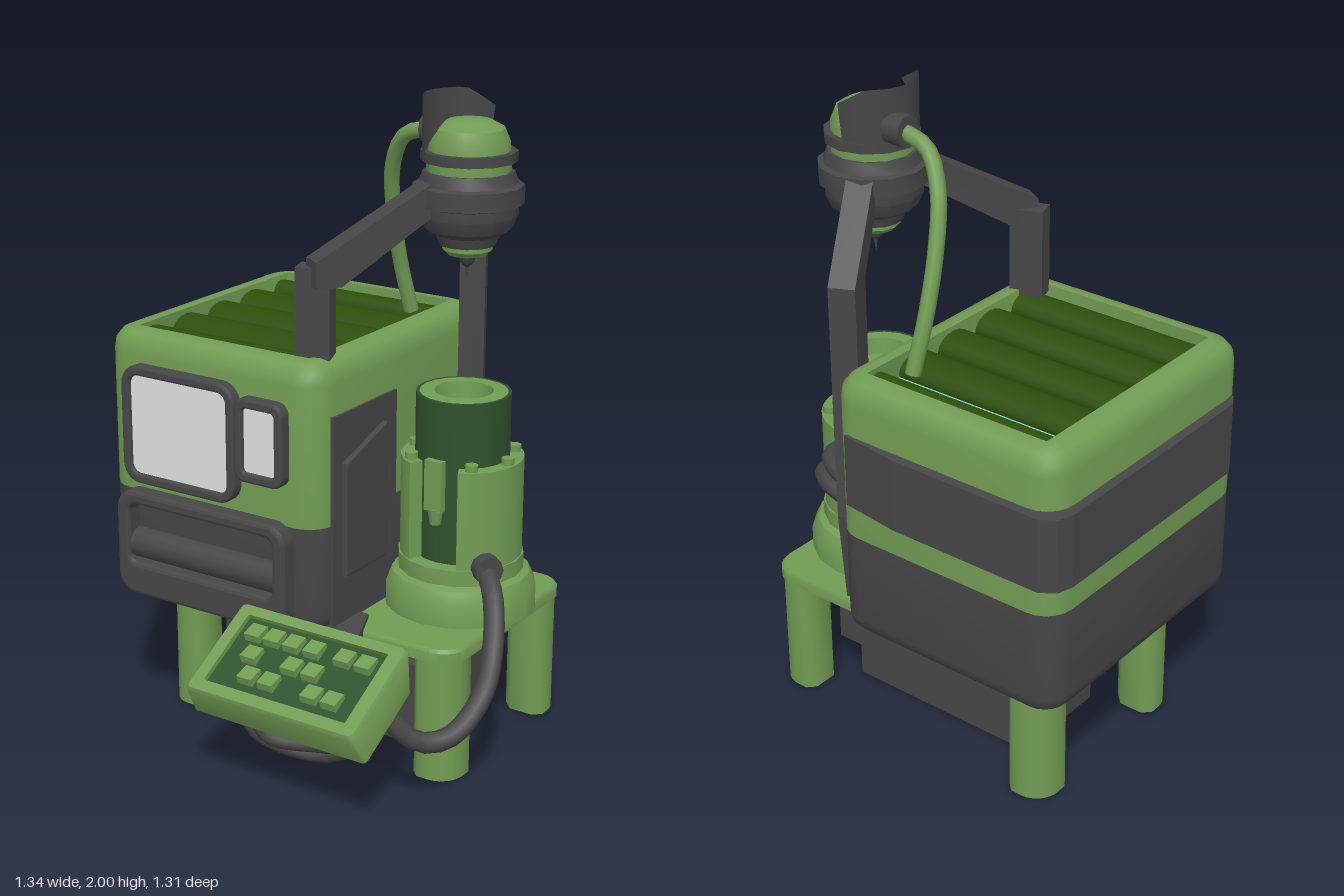
import * as THREE from 'three';
import { mergeVertices, toCreasedNormals } from 'three/addons/utils/BufferGeometryUtils.js';

const mat = (name, color) => Object.assign(new THREE.MeshStandardMaterial({ color }), { name });
const V = (a) => new THREE.Vector3(...a);

export function createModel() {
  const green = mat('green', 0x719d53), grey = mat('grey', 0x474747);
  const deep = mat('deepGreen', 0x2f522d), slatGreen = mat('slatGreen', 0x2c4f0a);
  const glow = mat('paleCyan', 0x88d8cb), glass = mat('screenGrey', 0xe2e2e2);
  const hoodMat = mat('hoodGrey', 0x454545);
  hoodMat.side = THREE.DoubleSide;
  const root = new THREE.Group();

  const add = (name, geo, material, parent = root) => {
    const mesh = new THREE.Mesh(geo, material);
    mesh.name = name;
    parent.add(mesh);
    return mesh;
  };
  const box = (name, x0, x1, y0, y1, z0, z1, m, parent) => {
    const mesh = add(name, new THREE.BoxGeometry(x1 - x0, y1 - y0, z1 - z0), m, parent);
    mesh.position.set((x0 + x1) / 2, (y0 + y1) / 2, (z0 + z1) / 2);
    return mesh;
  };

  // Stack of rounded rectangles, each [x0, x1, z0, z1, radius, y]
  const loft = (rings, capStart = true, capEnd = true, crease = 0.7) => {
    const pos = [], idx = [], k = 5, n = 4 * (k + 1);
    for (const [x0, x1, z0, z1, r, y] of rings) {
      const corners = [[x1 - r, z1 - r], [x0 + r, z1 - r], [x0 + r, z0 + r], [x1 - r, z0 + r]];
      corners.forEach(([cx, cz], q) => {
        for (let i = 0; i <= k; i++) {
          const a = (q + i / k) * Math.PI / 2;
          pos.push(cx + r * Math.cos(a), y, cz + r * Math.sin(a));
        }
      });
    }
    for (let i = 0; i < rings.length - 1; i++) for (let j = 0; j < n; j++) {
      const a = i * n + j, b = i * n + (j + 1) % n;
      idx.push(a, a + n, b, b, a + n, b + n);
    }
    const cap = (ring, flip) => {
      const [x0, x1, z0, z1, , y] = rings[ring], c = pos.length / 3, s = ring * n;
      pos.push((x0 + x1) / 2, y, (z0 + z1) / 2);
      for (let j = 0; j < n; j++) {
        const a = s + j, b = s + (j + 1) % n;
        idx.push(c, flip ? b : a, flip ? a : b);
      }
    };
    if (capStart) cap(0, false);
    if (capEnd) cap(rings.length - 1, true);
    const g = new THREE.BufferGeometry();
    g.setAttribute('position', new THREE.Float32BufferAttribute(pos, 3));
    g.setIndex(idx);
    return toCreasedNormals(g, crease);
  };
  const inset = (b, d, y, r) => [b[0] + d, b[1] - d, b[2] + d, b[3] - d, r, y];

  const lathe = (pts, seg) => {
    const g = new THREE.LatheGeometry(pts.map((p) => new THREE.Vector2(...p)), seg);
    g.deleteAttribute('uv');
    g.deleteAttribute('normal');
    return toCreasedNormals(mergeVertices(g), 0.6);
  };
  const tube = (name, pts, r, m) =>
    add(name, new THREE.TubeGeometry(new THREE.CatmullRomCurve3(pts.map(V)), 20, r, 8), m);
  const poly = (pts) => new THREE.Shape(pts.map((p) => new THREE.Vector2(...p)));
  const extrude = (shape, depth, bevel = 0) => new THREE.ExtrudeGeometry(shape, {
    depth, bevelEnabled: bevel > 0, bevelSize: bevel, bevelThickness: bevel, bevelSegments: 2, curveSegments: 6 });
  const roundRect = (s, x0, x1, y0, y1, r) => {
    s.absarc(x1 - r, y1 - r, r, 0, Math.PI / 2);
    s.absarc(x0 + r, y1 - r, r, Math.PI / 2, Math.PI);
    s.absarc(x0 + r, y0 + r, r, Math.PI, Math.PI * 1.5);
    s.absarc(x1 - r, y0 + r, r, Math.PI * 1.5, Math.PI * 2);
    s.closePath();
    return s;
  };

  // Table: slab, dark sloping underside, four legs rounded outside and trimmed inside
  const T = [-0.525, 0.55, -0.517, 0.185];
  add('tableTop', loft([inset(T, 0.025, 0.388, 0.06), inset(T, 0, 0.388, 0.08), inset(T, 0, 0.42, 0.08),
    inset(T, 0.008, 0.43, 0.075)], false), green);
  add('tableUnderside', loft([[-0.33, 0.35, -0.34, 0.02, 0.02, 0.345], inset(T, 0.025, 0.388, 0.06)], true, false), deep);
  const legShape = new THREE.Shape();
  legShape.moveTo(-0.035, -0.07);
  legShape.lineTo(0.045, -0.07);
  legShape.lineTo(0.07, -0.045);
  legShape.absarc(-0.01, -0.01, 0.08, 0, Math.PI / 2);
  legShape.lineTo(-0.045, 0.07);
  legShape.lineTo(-0.07, 0.045);
  legShape.lineTo(-0.07, -0.035);
  const legGeo = toCreasedNormals(extrude(legShape, 0.41).rotateX(-Math.PI / 2), 0.9);
  [[1, -1], [-1, -1], [-1, 1], [1, 1]].forEach(([sx, sz], q) => {
    const leg = add('leg', legGeo, green);
    leg.position.set(0.012 + sx * 0.463, 0, -0.165 + sz * 0.277);
    leg.rotation.y = q * Math.PI / 2;
  });
  box('baseCabinet', -0.32, 0.345, 0, 0.36, -0.335, 0.01, grey);
  box('crossBeams', -0.39, 0.4, 0.14, 0.285, -0.37, 0.04, grey);

  // Cabinet: grey lower half, green upper half with a recessed vent
  const B = [-0.64, 0.16, -0.63, 0.31], vent = [-0.555, 0.08, -0.55, 0.235, 0.005];
  add('cabinetLower', loft([inset(B, 0.06, 0.42, 0.05), inset(B, 0.025, 0.43, 0.07), inset(B, 0.007, 0.45, 0.08),
    inset(B, 0, 0.48, 0.09), inset(B, 0, 0.765, 0.09)], true, false), grey);
  add('cabinetUpper', loft([inset(B, 0, 0.765, 0.09), inset(B, 0, 1.2, 0.09), inset(B, 0.007, 1.235, 0.08),
    inset(B, 0.025, 1.26, 0.07), inset(B, 0.055, 1.27, 0.05), [...vent, 1.27], [...vent, 1.2]], false, false), green);
  box('ventGlow', -0.555, 0.08, 1.19, 1.2, -0.55, 0.235, glow);
  for (const [z0, z1] of [[-0.55, -0.465], [-0.415, -0.27], [-0.24, -0.1], [-0.065, 0.075], [0.11, 0.235]]) {
    const slat = add('ventSlat', new THREE.CylinderGeometry(1, 1, 0.633, 16).rotateZ(Math.PI / 2), slatGreen);
    slat.scale.set(1, 0.045, (z1 - z0) / 2);
    slat.position.set(-0.2375, 1.21, (z0 + z1) / 2);
  }

  // Wrap-around band at the back and on one side
  const band = poly([[-0.6, -0.25], [-0.645, -0.245], [-0.67, -0.2], [-0.67, 0.58], [-0.655, 0.63], [-0.61, 0.66],
    [-0.1, 0.66], [0.1, 0.635], [0.08, 0.6], [-0.6, 0.55]]);
  add('wrapBand', extrude(band, 0.23).rotateX(-Math.PI / 2), grey).position.y = 0.87;

  // Side door
  box('sidePanel', 0.13, 0.168, 0.44, 1.105, -0.1, 0.24, grey);
  const door = poly([[-0.19, 0.6], [0.02, 0.6], [0.02, 1.02], [-0.19, 0.95]]);
  add('sideDoor', extrude(door, 0.015, 0.005).rotateY(Math.PI / 2), grey).position.x = 0.165;

  // Front: framed screens and slotted bumper
  const framed = (name, x0, x1, y0, y1, r, b) => {
    const s = roundRect(new THREE.Shape(), x0 + 0.01, x1 - 0.01, y0 + 0.01, y1 - 0.01, r);
    s.holes.push(roundRect(new THREE.Path(), x0 + b, x1 - b, y0 + b, y1 - b, r * 0.7));
    add(name + 'Frame', extrude(s, 0.04, 0.008), grey).position.z = 0.3;
    add(name, new THREE.ShapeGeometry(roundRect(new THREE.Shape(), x0 + b, x1 - b, y0 + b, y1 - b, r * 0.7)),
      glass).position.z = 0.335;
  };
  framed('mainScreen', -0.545, -0.115, 0.8, 1.18, 0.055, 0.025);
  framed('smallScreen', -0.12, 0.06, 0.885, 1.15, 0.03, 0.025);
  const bumper = roundRect(new THREE.Shape(), -0.55, 0.06, 0.45, 0.765, 0.05);
  bumper.holes.push(roundRect(new THREE.Path(), -0.527, 0.04, 0.53, 0.747, 0.04));
  add('bumper', extrude(bumper, 0.048, 0.012), grey).position.z = 0.305;
  const bar = add('bumperBar', new THREE.CylinderGeometry(0.05, 0.05, 0.56, 14).rotateZ(Math.PI / 2), grey);
  bar.position.set(-0.243, 0.595, 0.31);

  // Tower on the table
  const tower = new THREE.Group();
  tower.name = 'tower';
  tower.position.set(0.35, 0, -0.19);
  root.add(tower);
  add('towerBase', lathe([[0.235, 0.42], [0.235, 0.5], [0.215, 0.54], [0.195, 0.55], [0.195, 0.6], [0.12, 0.6]], 16), green, tower);
  add('towerCore', lathe([[0.145, 0.58], [0.145, 1.11], [0.135, 1.11]], 20), deep, tower);
  add('towerRim', lathe([[0.137, 1.109], [0.09, 1.112], [0.085, 1.06], [0, 1.06]], 20), green, tower);
  const gap = 0.46, shell = new THREE.Shape();
  shell.absarc(0, 0, 0.188, -Math.PI / 2 + gap, Math.PI * 1.5 - gap);
  shell.absarc(0, 0, 0.14, Math.PI * 1.5 - gap, -Math.PI / 2 + gap, true);
  const shellGeo = new THREE.ExtrudeGeometry(shell, { depth: 0.32, bevelEnabled: false, curveSegments: 22 });
  add('towerShell', toCreasedNormals(shellGeo.rotateX(-Math.PI / 2), 0.5), green, tower).position.y = 0.59;
  for (let i = 0; i < 7; i++) {
    const a = 0.7 + i * (Math.PI * 2 - 1.4) / 6;
    add('rimBolt', new THREE.CylinderGeometry(0.02, 0.02, 0.03, 8), green, tower)
      .position.set(Math.sin(a) * 0.163, 0.915, Math.cos(a) * 0.163);
  }
  box('towerLatch', -0.035, 0.025, 0.77, 0.93, 0.12, 0.165, green, tower);
  add('latchTip', new THREE.CylinderGeometry(0.026, 0.018, 0.05, 8), green, tower).position.set(-0.005, 0.75, 0.145);

  // Instrument head
  const head = new THREE.Group();
  head.name = 'head';
  head.position.set(0.345, 0, -0.2);
  root.add(head);
  add('needle', lathe([[0, 1.45], [0.006, 1.49], [0.022, 1.505], [0.03, 1.54]], 10), grey, head);
  add('lensRing', lathe([[0, 1.53], [0.06, 1.53], [0.075, 1.545], [0.075, 1.565]], 12), green, head);
  add('headBody', lathe([[0, 1.56], [0.085, 1.56], [0.095, 1.59], [0.13, 1.61], [0.148, 1.65], [0.148, 1.68],
    [0.165, 1.685], [0.165, 1.74], [0.148, 1.745], [0.135, 1.78], [0, 1.78]], 12), grey, head);
  add('headBand', lathe([[0.125, 1.77], [0.125, 1.82]], 12), green, head);
  add('headCollar', lathe([[0.11, 1.81], [0.143, 1.81], [0.143, 1.84], [0.1, 1.84]], 12), grey, head);
  add('headDome', lathe([[0.122, 1.83], [0.12, 1.87], [0.105, 1.905], [0.065, 1.927], [0, 1.935]], 16), green, head);
  // Hood: curved sheet, wider at its top and reaching further round the back
  const hood = new THREE.PlaneGeometry(1, 1, 16, 4), hp = hood.attributes.position;
  for (let i = 0; i < hp.count; i++) {
    const t = hp.getX(i) * 2, v = hp.getY(i) + 0.5;
    const a = Math.PI + t * (t < 0 ? 0.85 + 0.75 * v : 1.5 + 0.1 * v);
    const top = 2.0 - 0.05 * Math.max(0, (Math.abs(t) - 0.6) / 0.4);
    hp.setXYZ(i, Math.cos(a) * 0.138, 1.83 + (top - 1.83) * v, Math.sin(a) * 0.138);
  }
  hood.computeVertexNormals();
  add('headHood', hood, hoodMat, head);
  add('cableSocket', new THREE.CylinderGeometry(0.048, 0.048, 0.06, 10).rotateZ(Math.PI / 2), grey)
    .position.set(0.2, 1.88, -0.245);
  tube('headCable', [[0.19, 1.88, -0.245], [0.09, 1.85, -0.255], [0.025, 1.75, -0.29], [-0.005, 1.6, -0.34],
    [-0.015, 1.42, -0.4], [0, 1.25, -0.445]], 0.024, green);

  // Bent arms holding the head
  const arm = (name, dx, dz, pts, w) => {
    const m = add(name, extrude(poly(pts), w).translate(0, 0, -w / 2), grey, head);
    m.rotation.y = Math.atan2(-dz, dx);
  };
  box('frontPost', 0.018, 0.122, 1.25, 1.535, 0.155, 0.225, grey).rotation.y = 0.32;
  arm('frontArm', -0.245, 0.39, [[0.42, 1.48], [0.5, 1.48], [0.5, 1.56], [0.14, 1.755], [0.14, 1.655]], 0.075);
  arm('rearArm', -0.15, -0.3, [[0.25, 0.42], [0.32, 0.42], [0.38, 0.75], [0.38, 1.5], [0.15, 1.74], [0.14, 1.64],
    [0.27, 1.49], [0.27, 0.8]], 0.08);

  // Hoses
  tube('rearHose', [[0.36, 0.85, -0.36], [0.34, 0.86, -0.44], [0.27, 0.86, -0.49], [0.18, 0.84, -0.5]], 0.028, grey);
  tube('rearHose', [[0.4, 0.77, -0.36], [0.39, 0.78, -0.42], [0.31, 0.79, -0.48], [0.18, 0.77, -0.5]], 0.028, grey);
  const socket = add('hoseSocket', new THREE.CylinderGeometry(0.045, 0.045, 0.06, 10).rotateZ(Math.PI / 2), grey);
  socket.position.set(0.51, 0.61, -0.07);
  socket.rotation.y = -0.7;
  tube('sideHose', [[0.5, 0.61, -0.08], [0.57, 0.55, -0.01], [0.625, 0.43, 0.08], [0.64, 0.32, 0.16], [0.61, 0.23, 0.28],
    [0.55, 0.225, 0.36], [0.46, 0.32, 0.43]], 0.032, grey);
  tube('hangingHose', [[0.04, 0.32, 0.5], [0.07, 0.2, 0.51], [0.2, 0.135, 0.45], [0.32, 0.155, 0.42], [0.42, 0.27, 0.42]], 0.028, grey);
  tube('hangingHose', [[0.1, 0.3, 0.55], [0.14, 0.21, 0.54], [0.26, 0.19, 0.48], [0.36, 0.21, 0.46], [0.45, 0.3, 0.45]], 0.028, grey);

  // Keypad on its bracket
  const bracket = poly([[0.04, -0.08], [0.2, -0.1], [0.33, -0.4], [0.06, -0.4]]);
  add('keypadBracket', extrude(bracket, 0.05).rotateX(-Math.PI / 2), grey).position.y = 0.395;
  const pad = new THREE.Group();
  pad.name = 'keypad';
  pad.position.set(0.215, 0.4325, 0.5125);
  pad.rotation.x = 0.51;
  root.add(pad);
  const well = [-0.245, 0.25, -0.13, 0.125, 0.004];
  add('keypadCase', loft([[-0.3, 0.308, -0.106, 0.167, 0.015, -0.114], [-0.293, 0.3, -0.169, 0.169, 0.02, -0.012],
    [-0.283, 0.292, -0.163, 0.162, 0.015, 0], [...well, 0], [...well, -0.018]], true, false), green, pad);
  box('keypadPanel', -0.245, 0.25, -0.025, -0.016, -0.13, 0.125, deep, pad);
  const rows = [[-0.08, [0.027, 0.095, 0.165, 0.237, 0.343, 0.415]], [-0.005, [0.06, 0.203, 0.275]],
    [0.065, [0.093, 0.165, 0.315, 0.385]]];
  for (const [z, xs] of rows) for (const x of xs)
    box('key', x - 0.241, x - 0.189, -0.022, 0.004, z - 0.026, z + 0.026, green, pad).rotation.x = -0.2;

  return root;
}
